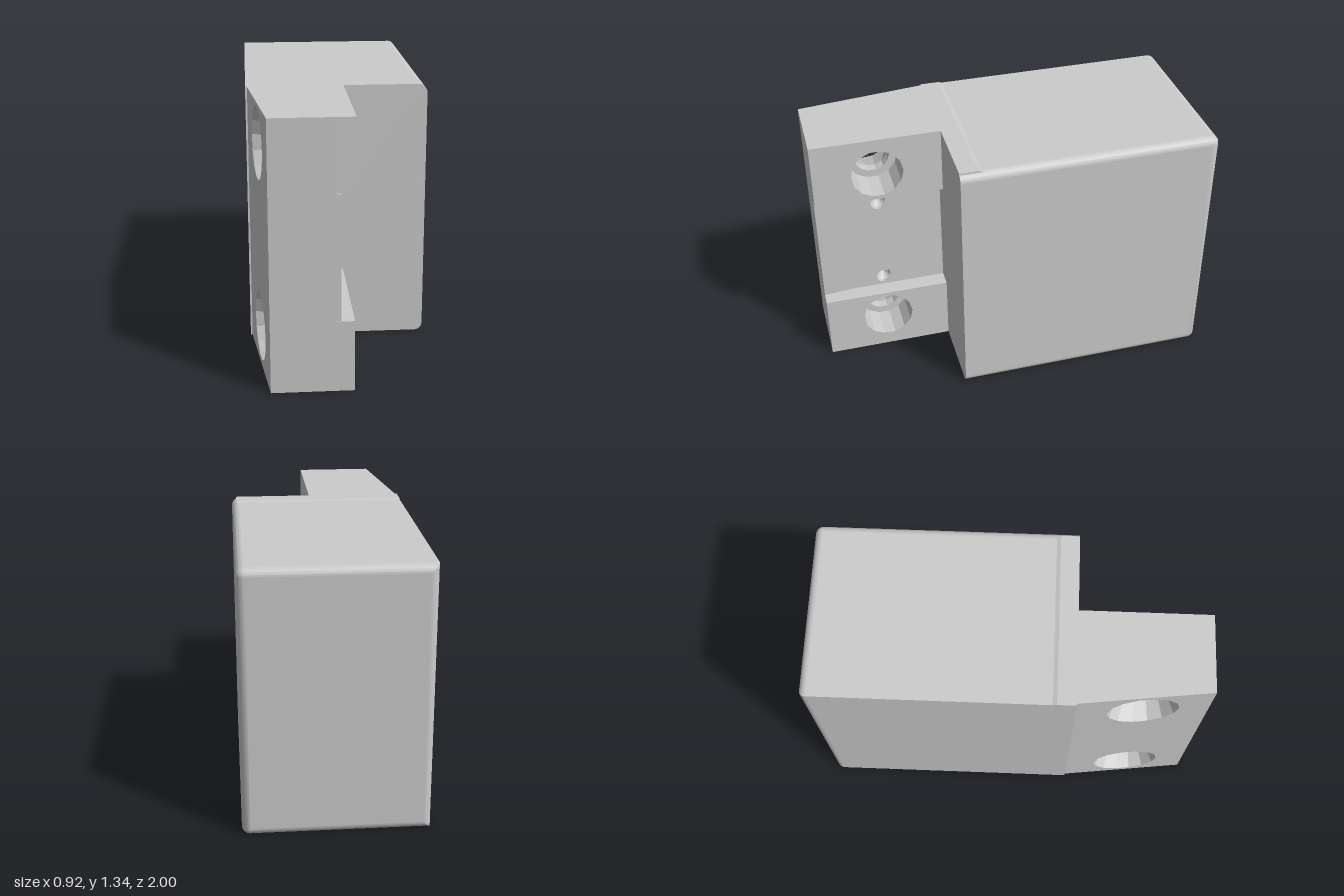
import * as THREE from 'three';
import { toCreasedNormals } from 'three/addons/utils/BufferGeometryUtils.js';
import { RoundedBoxGeometry } from 'three/addons/geometries/RoundedBoxGeometry.js';

const TOP = 1.344, FRONT = 0.335, SIDE = 0.4575, HOUSING_TOP = 1.338;
const BOLT_Z = 0.67, BOLT_Y = [0.206, 1.143], PIN_Y = [0.43, 0.92], PIN_R = 0.04;

export function createModel() {
  const model = new THREE.Group();
  const material = new THREE.MeshStandardMaterial({ color: 0xcccccc });
  const thin = new THREE.MeshStandardMaterial({ color: 0xcccccc, side: THREE.DoubleSide });

  function add(name, geometry, parent = model, mat = material) {
    const mesh = new THREE.Mesh(geometry, mat);
    mesh.name = name;
    parent.add(mesh);
    return mesh;
  }

  // Slab with a [z, y] outline and round [z, y, radius] holes, running from x0 to x1
  function slab(outline, holes, x0, x1) {
    const shape = new THREE.Shape(outline.map(([z, y]) => new THREE.Vector2(-z, y)));
    for (const [z, y, r] of holes) {
      shape.holes.push(new THREE.Path().absarc(-z, y, r, 0, Math.PI * 2, false));
    }
    const geometry = new THREE.ExtrudeGeometry(shape, { depth: x1 - x0, bevelEnabled: false, curveSegments: 7 });
    return geometry.rotateY(Math.PI / 2).translate(x0, 0, 0);
  }
  const rect = (z0, z1, y0, y1) => [[z0, y0], [z1, y0], [z1, y1], [z0, y1]];
  const bolts = (r) => BOLT_Y.map((y) => [BOLT_Z, y, r]);

  // Housing: rounded block, cut flat at the front and squared off along its right side
  function housing() {
    const r = 0.04, z0 = -1, z1 = FRONT + r;
    const box = new RoundedBoxGeometry(2 * SIDE, HOUSING_TOP, z1 - z0, 8, r);
    box.translate(0, HOUSING_TOP / 2, (z0 + z1) / 2);
    const p = box.attributes.position, n = box.attributes.normal;
    for (let i = 0; i < p.count; i++) {
      const dx = n.getX(i), dy = n.getY(i);
      const big = Math.max(Math.abs(dx), Math.abs(dy));
      if (p.getX(i) < 0 && big > 1e-5) {
        const grow = (Math.hypot(dx, dy) / big - 1) * r;
        p.setX(i, p.getX(i) + dx * grow);
        p.setY(i, p.getY(i) + dy * grow);
      }
      p.setZ(i, Math.min(p.getZ(i), FRONT));
    }

    // Smooth fillets, with the large faces kept truly flat
    const geometry = toCreasedNormals(box, 0.4);
    const q = geometry.attributes.position, m = geometry.attributes.normal;
    const face = new THREE.Triangle(), normal = new THREE.Vector3();
    for (let i = 0; i < q.count; i += 3) {
      face.setFromAttributeAndIndices(q, i, i + 1, i + 2).getNormal(normal);
      if (Math.max(...normal.toArray().map(Math.abs)) > 0.9999) {
        for (let k = i; k < i + 3; k++) m.setXYZ(k, normal.x, normal.y, normal.z);
      }
    }
    return geometry;
  }
  add('housing', housing());

  // Shallow collar around the front of the housing, ramped at its rear edge
  const collar = [[0.22, 0.004], [FRONT, 0.004], [FRONT, TOP], [0.24, TOP], [0.22, HOUSING_TOP]];
  add('collar', slab(collar, [], -SIDE, 0.434));

  // Mounting lug, layered across x so that the bolt holes step in diameter
  const lug = new THREE.Group();
  lug.name = 'mountingLug';
  model.add(lug);
  const full = rect(FRONT, 1, 0, TOP);

  // Sloped outer side, where the bolt holes flare outward
  const wide = 0.178, narrow = 0.095;
  const taper = slab(full, bolts(wide), -1, -0.2);
  const p = taper.attributes.position;
  for (let i = 0; i < p.count; i++) {
    const y = p.getY(i), z = p.getZ(i);
    if (p.getX(i) < -0.5) {
      p.setX(i, -0.448 + 0.12 * (z - FRONT));
      continue;
    }
    for (const by of BOLT_Y) {
      if (Math.hypot(y - by, z - BOLT_Z) < wide + 0.01) {
        p.setY(i, by + (y - by) * narrow / wide);
        p.setZ(i, BOLT_Z + (z - BOLT_Z) * narrow / wide);
      }
    }
  }
  taper.computeVertexNormals();
  add('taperedSide', taper, lug);
  add('boltShoulder', slab(full, bolts(narrow), -0.2, -0.15), lug);
  const pins = PIN_Y.map((y) => [BOLT_Z, y, PIN_R]);
  add('recessFloor', slab(full, [...bolts(0.135), ...pins], -0.15, -0.053), lug);

  // Raised blocks above and below the recess
  [[0, 0.36], [0.99, TOP]].forEach(([y0, y1], i) => {
    add(i ? 'upperBlock' : 'lowerBlock',
      slab(rect(FRONT, 1, y0, y1), [[BOLT_Z, BOLT_Y[i], 0.135]], -0.053, 0.033), lug);
  });

  // Tapered pad in the recess, its rear corners cut away around the pin sockets
  const upper = [[1, 0.986]];
  for (let a = 90; a >= -135; a -= 25) {
    const t = THREE.MathUtils.degToRad(a);
    upper.push([BOLT_Z + PIN_R * Math.cos(t), PIN_Y[1] + PIN_R * Math.sin(t)]);
  }
  const lower = upper.map(([z, y]) => [z, PIN_Y[0] + PIN_Y[1] - y]).reverse();
  add('recessPad', slab([...upper, ...lower], [], -0.053, -0.033), lug);

  // Conical pin sockets
  for (const y of PIN_Y) {
    const cone = new THREE.ConeGeometry(PIN_R, 0.05, 14, 1, true).rotateZ(Math.PI / 2);
    add('pinSocket', cone, lug, thin).position.set(-0.078, y, BOLT_Z);
  }

  return model;
}
